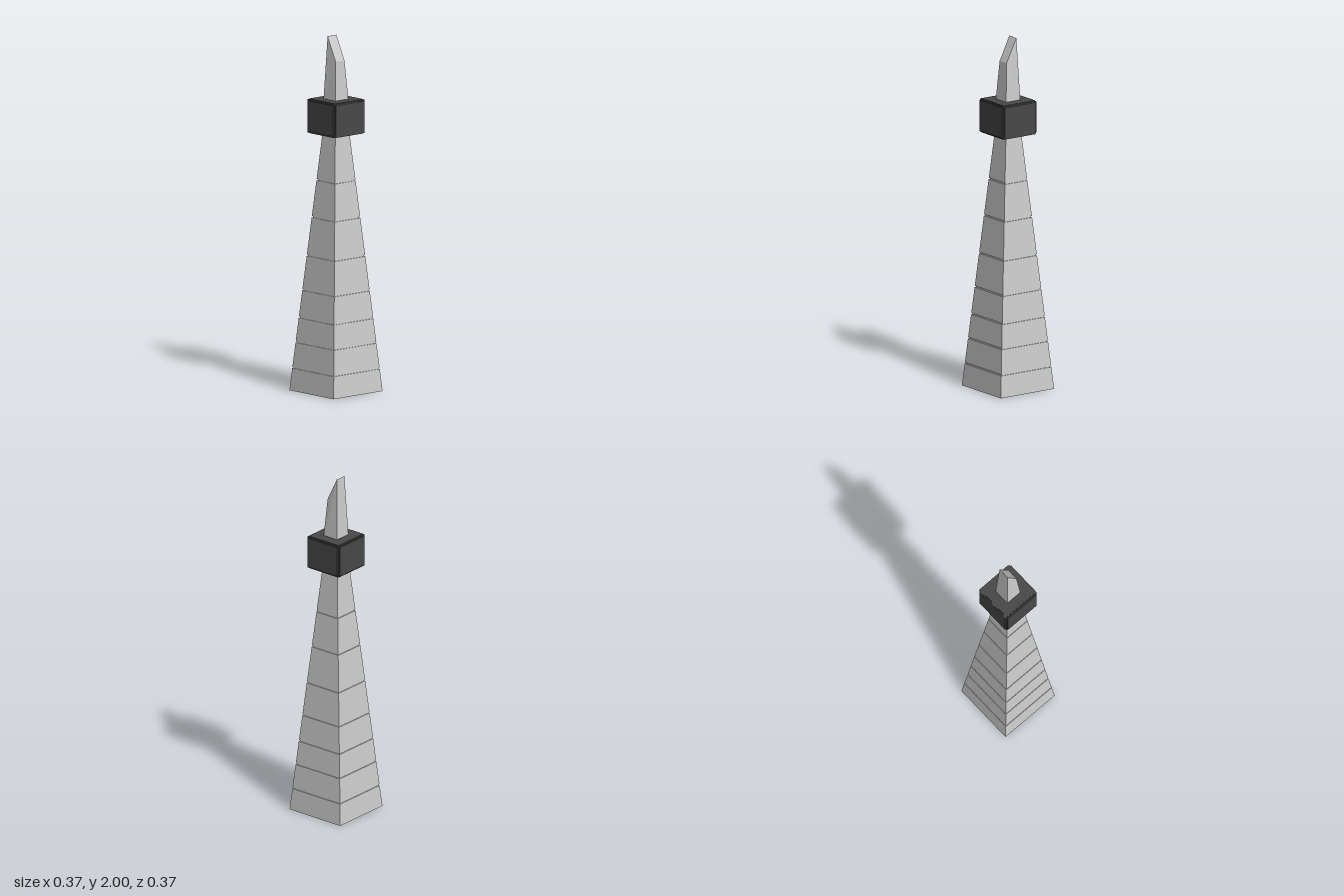
import * as THREE from 'three';

const grey = new THREE.MeshStandardMaterial({ color: 0xcccccc, flatShading: true });
const dark = new THREE.MeshStandardMaterial({ color: 0x484848, flatShading: true });

function addMesh(parent, name, geometry, material, y = 0) {
  const mesh = new THREE.Mesh(geometry, material);
  mesh.name = name;
  mesh.position.y = y;
  parent.add(mesh);
  return mesh;
}

// Square tapering shaft, cut by thin recessed joints
function shaftGeometry() {
  const top = 1.455, joints = [0.128, 0.273, 0.412, 0.568, 0.763, 0.98, 1.19];
  const half = (y) => 0.183 - 0.0895 * y;
  const point = (h, y) => new THREE.Vector2(h * Math.SQRT2, y);
  const profile = [new THREE.Vector2(0, 0), point(half(0), 0)];
  for (const y of joints) {
    const a = y - 0.004, b = y + 0.004, depth = 0.005;
    profile.push(point(half(a), a), point(half(a) - depth, a));
    profile.push(point(half(b) - depth, b), point(half(b), b));
  }
  profile.push(point(half(top), top), new THREE.Vector2(0, top));
  const g = new THREE.LatheGeometry(profile, 4, Math.PI / 4).toNonIndexed();
  g.computeVertexNormals();
  return g;
}

// Tapered spire whose tip slopes down towards +x
function spireGeometry() {
  const g = new THREE.BoxGeometry(2, 2, 2).toNonIndexed();
  const p = g.attributes.position;
  for (let i = 0; i < p.count; i++) {
    const x = p.getX(i), z = p.getZ(i), isTop = p.getY(i) > 0;
    const h = isTop ? 0.033 : 0.049;
    const y = !isTop ? 1.64 : x > 0 ? 1.865 : 2;
    p.setXYZ(i, x * h, y, z * h);
  }
  g.computeVertexNormals();
  return g;
}

export function createModel() {
  const model = new THREE.Group();
  model.name = 'obelisk';
  addMesh(model, 'shaft', shaftGeometry(), grey);

  // Dark block: a core with a slightly raised panel on each face
  const block = new THREE.Group();
  block.name = 'block';
  block.position.y = 1.55;
  model.add(block);
  addMesh(block, 'blockCore', new THREE.BoxGeometry(0.224, 0.186, 0.224), dark);
  addMesh(block, 'sidePanels', new THREE.BoxGeometry(0.236, 0.174, 0.214), dark);
  addMesh(block, 'frontBackPanels', new THREE.BoxGeometry(0.214, 0.174, 0.236), dark);
  addMesh(block, 'topBottomPanels', new THREE.BoxGeometry(0.214, 0.194, 0.214), dark);

  addMesh(model, 'spire', spireGeometry(), grey);
  return model;
}
